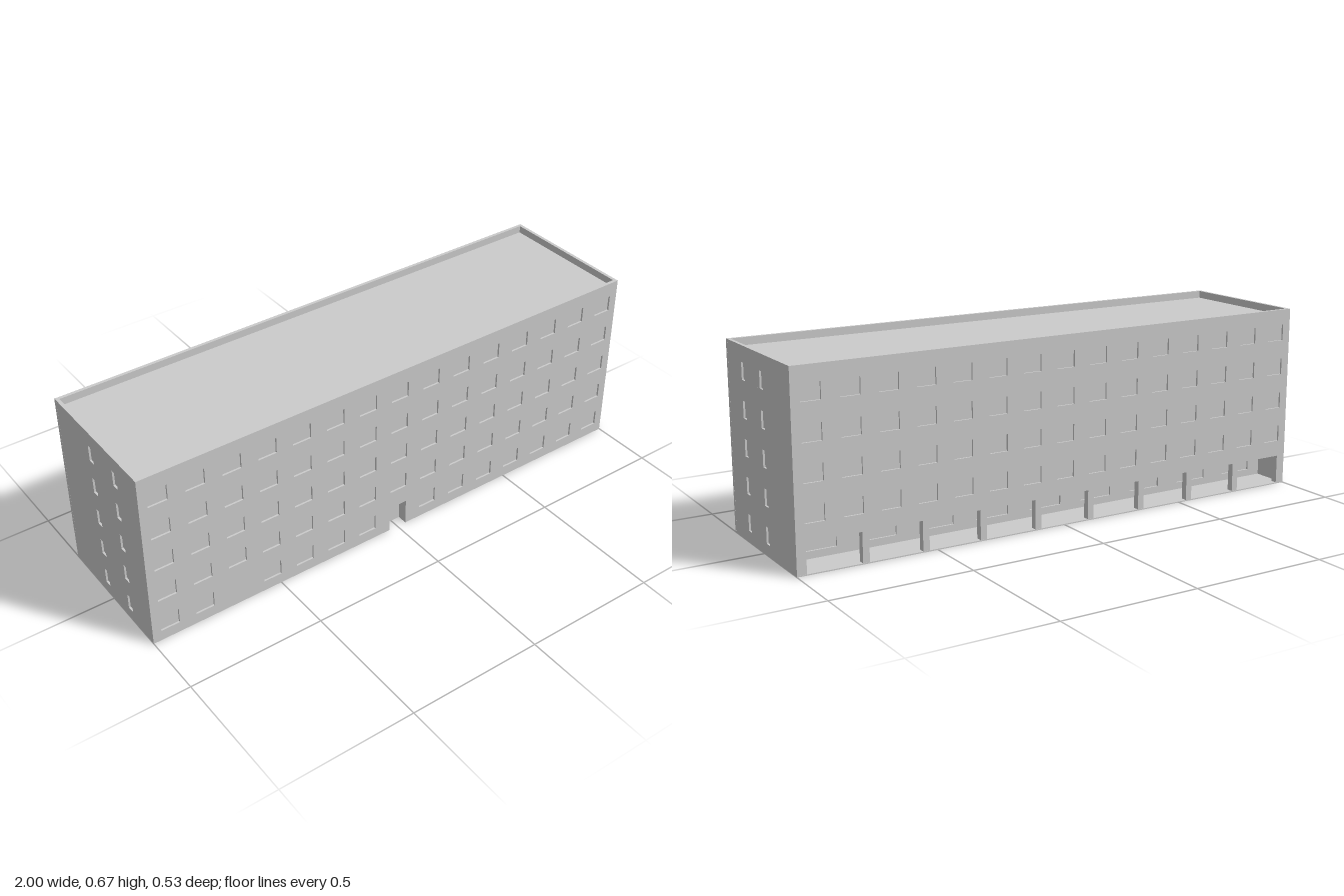
import * as THREE from 'three';

const H = 0.673, D = 0.267, T = 0.012;         // height, half depth, wall thickness
const FLOOR = 0.1293, SILL = 0.04, WIN_H = 0.059;
const ROOF = 0.646, OPEN_TOP = 0.11, ARCADE_Z = -0.137;

export function createModel() {
  const model = new THREE.Group();
  model.name = 'officeBlock';
  const mat = new THREE.MeshStandardMaterial({ color: 0xcccccc, flatShading: true });

  function box(name, w, h, d, x, y, z, parent = model) {
    const m = new THREE.Mesh(new THREE.BoxGeometry(w, h, d), mat);
    m.name = name;
    m.position.set(x, y, z);
    parent.add(m);
    return m;
  }

  // Wall in its own xy plane, outer face at z = 0, with a pane set into each opening
  function wall(name, outline, windows) {
    const group = new THREE.Group();
    group.name = name;
    const shape = new THREE.Shape(outline.map(([x, y]) => new THREE.Vector2(x, y)));
    for (const { x, y, w, h } of windows) {
      const a = x - w / 2, b = x + w / 2;
      shape.holes.push(new THREE.Path([
        new THREE.Vector2(a, y), new THREE.Vector2(a, y + h),
        new THREE.Vector2(b, y + h), new THREE.Vector2(b, y),
      ]));
      box('windowPane', w, h, 0.002, x, y + h / 2, -T * 0.65, group);
    }
    const geo = new THREE.ExtrudeGeometry(shape, { depth: T, bevelEnabled: false });
    geo.translate(0, 0, -T);
    const mesh = new THREE.Mesh(geo, mat);
    mesh.name = name + 'Panel';
    group.add(mesh);
    model.add(group);
    return group;
  }

  const rect = (hw, y0, y1) => [[-hw, y0], [hw, y0], [hw, y1], [-hw, y1]];

  // Grid of windows over the five storeys
  function windowGrid(xs, width, keep = () => true) {
    const list = [];
    for (let row = 0; row < 5; row++) {
      xs.forEach((x, col) => {
        if (keep(row, col)) list.push({ x, y: SILL + row * FLOOR, w: width, h: WIN_H });
      });
    }
    return list;
  }
  const bays = Array.from({ length: 15 }, (_, i) => (i - 7) * 2 / 15);

  // Front wall: blank bay and entrance notch on the ground floor
  const doorW = 0.036, doorH = 0.1;
  const front = wall('frontWall',
    [[-1, 0], [-doorW, 0], [-doorW, doorH], [doorW, doorH], [doorW, 0], [1, 0], [1, H], [-1, H]],
    windowGrid(bays, 0.07, (row, col) => row > 0 || (col !== 2 && col !== 7)));
  front.position.z = D;

  // Recessed entrance
  const niche = 0.03, nicheZ = D - T - niche / 2;
  for (const s of [-1, 1]) {
    box('entranceJamb', 0.004, doorH, niche, s * (doorW + 0.002), doorH / 2, nicheZ);
  }
  box('entranceCeiling', 2 * doorW + 0.008, 0.004, niche, 0, doorH + 0.002, nicheZ);
  box('entranceDoor', 2 * doorW, doorH, 0.004, 0, doorH / 2, D - T - niche + 0.002);

  // Back wall: upper storeys only
  const back = wall('backWall', rect(1, OPEN_TOP, H), windowGrid(bays, 0.07, row => row > 0));
  back.position.z = -D;
  back.rotation.y = Math.PI;

  // End walls, with narrow windows at the same depths on both ends
  for (const s of [-1, 1]) {
    const end = wall(s > 0 ? 'leftEndWall' : 'rightEndWall', rect(D - 0.0005, 0, H),
      windowGrid([-0.1215 * s, 0.035 * s], 0.028));
    end.position.x = s * 0.9998;
    end.rotation.y = s * Math.PI / 2;
  }

  // Roof sunk behind the parapet
  box('roof', 2 - 2 * T, 0.01, 2 * (D - T), 0, ROOF - 0.005, 0);

  // Open arcade along the back of the ground floor
  const inner = 2 - 2 * T, depth = D + ARCADE_Z;
  box('arcadeFloor', inner, 0.004, depth, 0, 0.002, -D + depth / 2);
  box('arcadeCeiling', inner, 0.008, depth - T, 0, OPEN_TOP + 0.008, -D + T + (depth - T) / 2);
  const pitch = 1.956 / 9;
  const shopWindows = Array.from({ length: 9 }, (_, i) => (
    { x: (i - 4) * pitch, y: 0.03, w: 0.13, h: 0.068 }));
  const arcade = wall('arcadeWall', rect(inner / 2, 0, OPEN_TOP + 0.012), shopWindows);
  arcade.position.z = ARCADE_Z;
  arcade.rotation.y = Math.PI;

  for (let i = 0; i < 10; i++) {
    box('arcadeColumn', 0.024, OPEN_TOP + 0.004, 0.024,
      (i - 4.5) * pitch, (OPEN_TOP + 0.004) / 2, -D + 0.0125);
  }
  return model;
}
